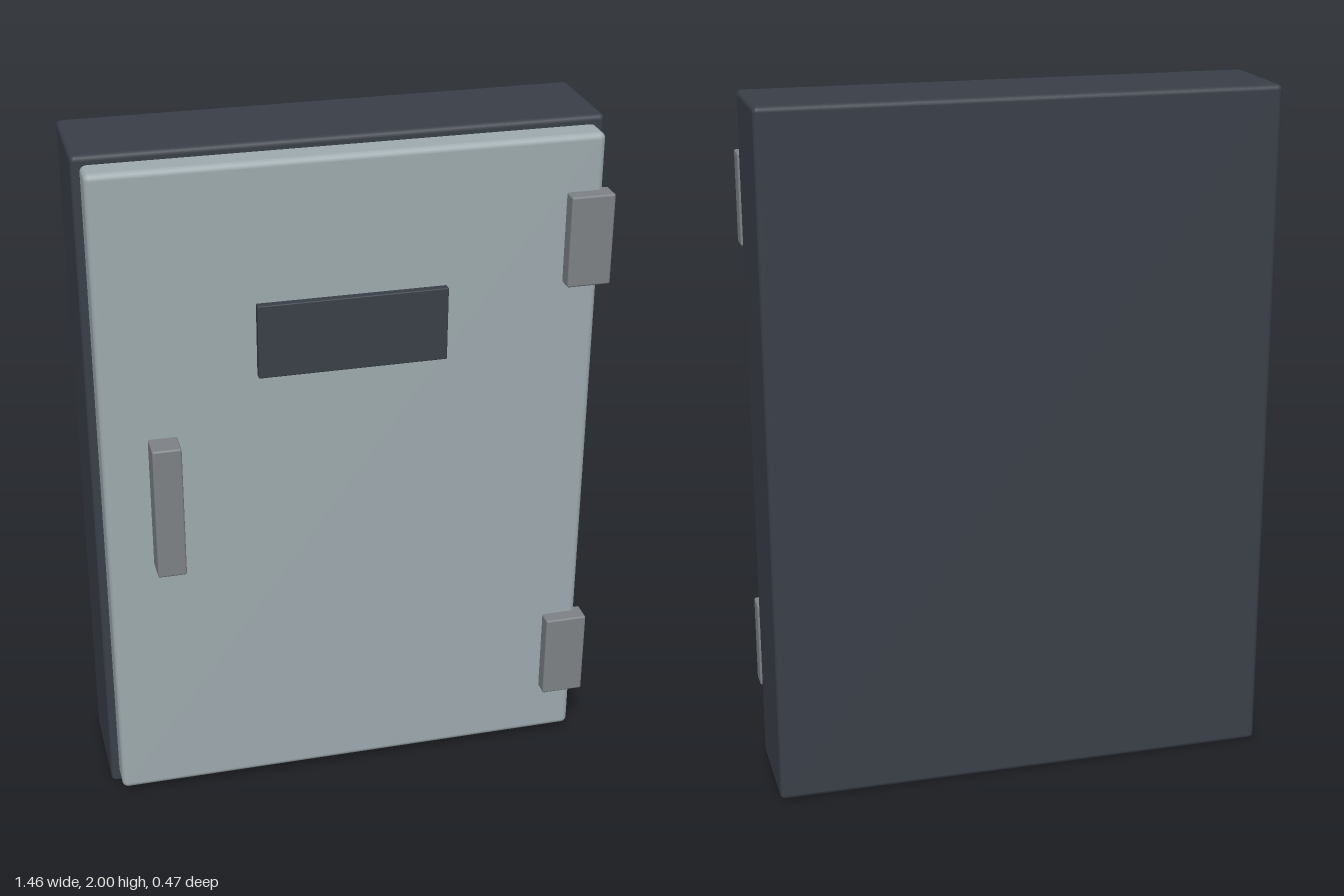
import * as THREE from 'three';
import { RoundedBoxGeometry } from 'three/addons/geometries/RoundedBoxGeometry.js';

function paint(name, color) {
  const material = new THREE.MeshStandardMaterial({ color });
  material.name = name;
  return material;
}

export function createModel() {
  const model = new THREE.Group();
  model.name = 'wallCabinet';
  const darkSteel = paint('darkSteel', 0x3a3f48);
  const paleSteel = paint('paleSteel', 0x9fabaf);
  const greyMetal = paint('greyMetal', 0x7e8286);

  // Rounded box given by its minimum and maximum corners
  function block(name, material, min, max, radius) {
    const [w, h, d] = max.map((v, i) => v - min[i]);
    const mesh = new THREE.Mesh(new RoundedBoxGeometry(w, h, d, 3, radius), material);
    mesh.position.set(...max.map((v, i) => (v + min[i]) / 2));
    mesh.name = name;
    model.add(mesh);
  }

  // Case and the door set on its front
  block('caseBody', darkSteel, [-0.73, 0, -0.235], [0.73, 2, 0.08], 0.015);
  block('door', paleSteel, [-0.706, 0.03, 0.06], [0.706, 1.975, 0.16], 0.018);

  // Name panel on the door
  block('doorPanel', darkSteel, [-0.267, 1.363, 0.15], [0.267, 1.577, 0.182], 0.003);

  // Pull handle on the right edge
  block('handle', greyMetal, [-0.577, 0.803, 0.15], [-0.495, 1.203, 0.236], 0.006);

  // Hinges on the left edge
  for (const [name, y] of [['lowerHinge', 0.322], ['upperHinge', 1.683]]) {
    block(name, greyMetal, [0.602, y - 0.132, 0.138], [0.727, y + 0.132, 0.203], 0.006);
  }
  return model;
}
